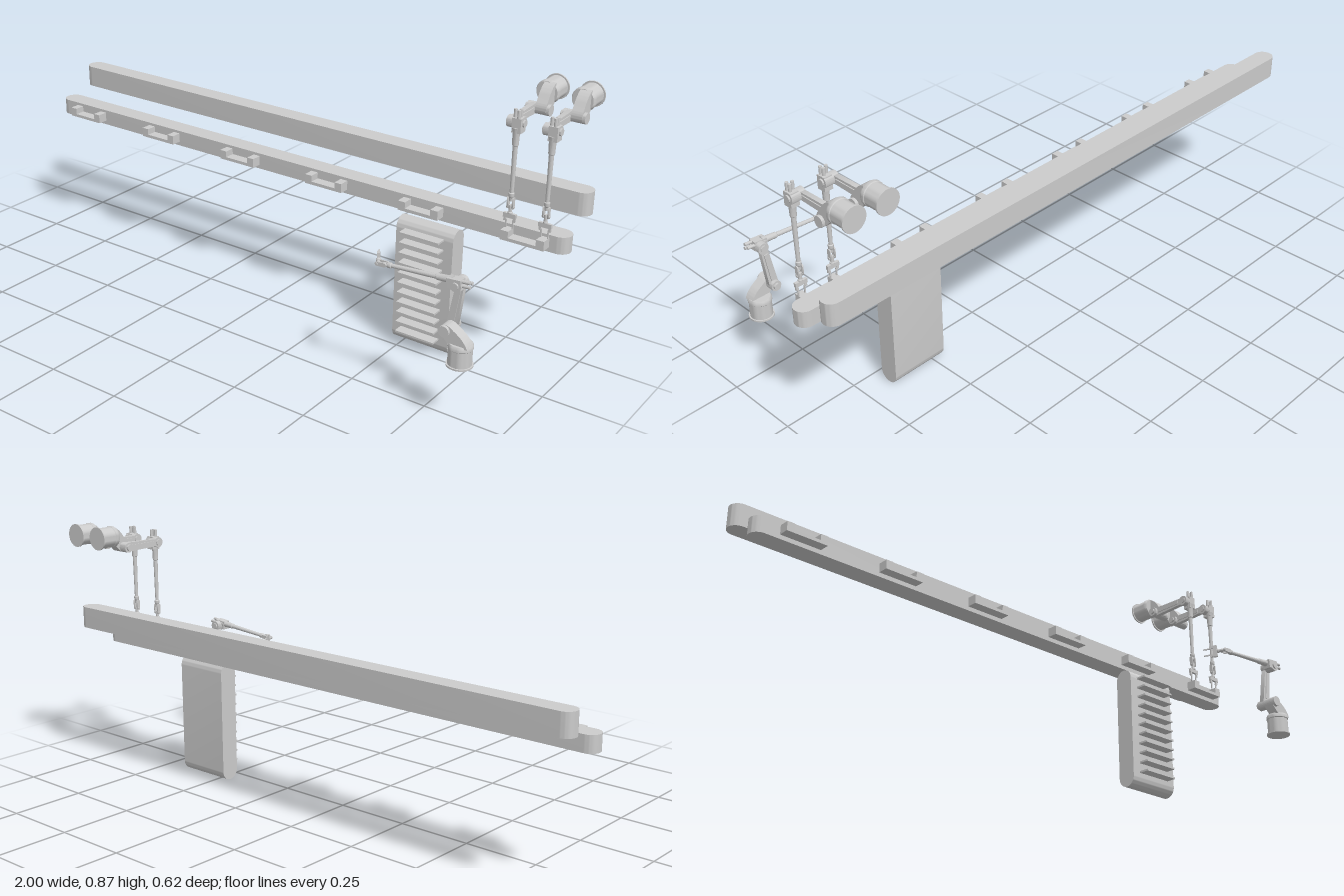
import * as THREE from 'three';
import { toCreasedNormals } from 'three/addons/utils/BufferGeometryUtils.js';

const mat = new THREE.MeshStandardMaterial({ color: 0xcccccc });

function add(parent, name, geo, x = 0, y = 0, z = 0) {
  const m = new THREE.Mesh(toCreasedNormals(geo, 0.6), mat);
  m.name = name;
  m.position.set(x, y, z);
  parent.add(m);
  return m;
}

function group(parent, name, x = 0, y = 0, z = 0) {
  const g = new THREE.Group();
  g.name = name;
  g.position.set(x, y, z);
  parent.add(g);
  return g;
}

const extrude = (shape, depth) =>
  new THREE.ExtrudeGeometry(shape, { depth, bevelEnabled: false, curveSegments: 12 }).translate(0, 0, -depth / 2);

// Two joined circles of radius r0 and r1, the second at distance len along +x
function link(len, r0, r1, depth) {
  const a = Math.acos((r0 - r1) / len);
  const s = new THREE.Shape();
  s.absarc(0, 0, r0, a, 2 * Math.PI - a, false);
  s.absarc(len, 0, r1, -a, a, false);
  s.closePath();
  return extrude(s, depth);
}

// Turned part along +x, points are [x, radius]
const turnedX = (pts) => new THREE.LatheGeometry(
  pts.map(([x, r]) => new THREE.Vector2(r, x)), 18).rotateZ(-Math.PI / 2);

// Turned part along the joint axis z
const pin = (r, z0, z1, seg = 24) =>
  new THREE.CylinderGeometry(r, r, z1 - z0, seg).rotateX(Math.PI / 2).translate(0, 0, (z0 + z1) / 2);

// Six axis arm standing on y = 0 and reaching along +x
function robotArm(name, { upper = 0, fore = 0, bend = 0, roll = 0 }) {
  const arm = new THREE.Group();
  arm.name = name;

  // Round pedestal with foot flange and collar
  const profile = [[0, 0], [0.039, 0], [0.039, 0.005], [0.0345, 0.005], [0.0345, 0.054],
    [0.0365, 0.056], [0.0365, 0.065], [0.033, 0.071], [0, 0.071]];
  add(arm, 'pedestal', new THREE.LatheGeometry(profile.map((p) => new THREE.Vector2(...p)), 28));

  // Leaning shoulder bracket
  const s = new THREE.Shape();
  s.moveTo(-0.033, 0.066);
  s.quadraticCurveTo(-0.024, 0.092, 0.012, 0.112);
  s.quadraticCurveTo(0.03, 0.128, 0.048, 0.12);
  s.quadraticCurveTo(0.06, 0.105, 0.05, 0.09);
  s.lineTo(0.026, 0.066);
  s.closePath();
  add(arm, 'shoulderBracket', extrude(s, 0.034), 0, 0, -0.008);
  add(arm, 'shoulderMotor', pin(0.017, -0.034, 0.038), 0.039, 0.105);
  add(arm, 'shoulderCap', pin(0.011, 0.038, 0.045), 0.039, 0.105);

  // Upper arm, offset to one side
  const upperArm = group(arm, 'upperArm', 0.039, 0.105, 0);
  upperArm.rotation.z = upper;
  const bar = add(upperArm, 'upperArmLink', link(0.142, 0.016, 0.012, 0.016), 0, 0, 0.019);
  bar.rotation.z = Math.PI / 2;
  add(upperArm, 'upperArmRib', new THREE.BoxGeometry(0.013, 0.1, 0.022), 0, 0.07, 0.019);

  // Elbow housing with two rear motors
  const forearm = group(upperArm, 'forearm', 0, 0.142, 0);
  forearm.rotation.z = fore - upper;
  add(forearm, 'elbowHousing', pin(0.018, -0.02, 0.027));
  add(forearm, 'elbowCap', pin(0.011, -0.025, 0.031));
  add(forearm, 'elbowBlock', new THREE.BoxGeometry(0.044, 0.03, 0.028), 0.005, 0.004, -0.006);
  for (const [y, z] of [[0.001, -0.01], [0.014, -0.01], [0.008, 0.004]]) {
    add(forearm, 'wristMotor', turnedX([[-0.041, 0], [-0.041, 0.005], [-0.015, 0.005], [-0.015, 0]]), 0, y, z);
  }

  // Tapered forearm tube
  const axis = group(forearm, 'forearmAxis', 0, 0.009, -0.003);
  add(axis, 'forearmTube', turnedX([[0.012, 0], [0.012, 0.014], [0.03, 0.0105], [0.065, 0.0095], [0.067, 0.0075],
    [0.21, 0.006], [0.212, 0.0085], [0.222, 0.0085], [0.226, 0.006], [0.236, 0.006], [0.236, 0]]));

  // Wrist fork, hand and gripper fingers
  for (const side of [-1, 1]) {
    add(axis, 'wristFork', link(0.025, 0.0065, 0.006, 0.004), 0.23, 0, side * 0.008);
  }
  add(axis, 'wristPin', pin(0.004, -0.012, 0.012, 12), 0.255);
  const hand = group(axis, 'hand', 0.255, 0, 0);
  hand.rotation.set(roll, bend, 0, 'YXZ');
  add(hand, 'wristBody', turnedX([[-0.006, 0], [-0.006, 0.0055], [0.014, 0.0055], [0.016, 0.0075], [0.02, 0.0075], [0.02, 0]]));
  add(hand, 'palm', new THREE.BoxGeometry(0.014, 0.009, 0.04), 0.027, 0, 0);
  for (const side of [-1, 1]) {
    add(hand, 'fingerBase', new THREE.BoxGeometry(0.014, 0.006, 0.007), 0.038, 0, side * 0.015);
    add(hand, 'finger', new THREE.BoxGeometry(0.026, 0.004, 0.004), 0.053, 0, side * 0.011);
  }
  return arm;
}

// Belt with round ends, lying in the xy plane
const belt = (length, r, depth) => {
  const h = length / 2 - r;
  return link(length - 2 * r, r, r, depth).translate(-h, 0, 0);
};

export function createModel() {
  const model = new THREE.Group();
  model.name = 'conveyorCell';

  // Two long horizontal conveyors
  add(model, 'backConveyor', belt(2, 0.0325, 0.073).rotateX(Math.PI / 2), 0, 0.5365, -0.2295);
  add(model, 'frontConveyor', belt(2, 0.0325, 0.053).rotateX(Math.PI / 2), 0, 0.4535, -0.1025);

  // Upright elevator with shelves
  add(model, 'elevator', belt(0.417, 0.0325, 0.197).rotateZ(Math.PI / 2).rotateY(Math.PI / 2), 0.563, 0.2085, -0.0625);
  for (let i = 0; i < 11; i++) {
    add(model, 'shelf', new THREE.BoxGeometry(0.135, 0.006, 0.037), 0.563, 0.05 + i * 0.0337, -0.0135);
  }

  // Carriers along the front conveyor
  for (let i = 0; i < 6; i++) {
    const tray = group(model, 'carrier', -0.85 + i * 0.3455, 0.441, -0.0525);
    add(tray, 'carrierBase', new THREE.BoxGeometry(0.138, 0.01, 0.035), 0, 0.005, 0);
    for (const side of [-1, 1]) {
      add(tray, 'carrierEnd', new THREE.BoxGeometry(0.025, 0.02, 0.035), side * 0.0565, 0.02, 0);
    }
  }

  // Two arms mounted sideways, reaching down to the front conveyor
  const basis = new THREE.Matrix4().makeBasis(
    new THREE.Vector3(0, -1, 0), new THREE.Vector3(0, 0, 1), new THREE.Vector3(-1, 0, 0));
  for (const x of [0.823, 0.934]) {
    const arm = robotArm('hangingArm', {});
    arm.quaternion.setFromRotationMatrix(basis);
    arm.position.set(x, 0.835, -0.31);
    model.add(arm);
  }

  // Upright arm in front of the elevator
  const loader = robotArm('loaderArm', { upper: 0.15, fore: -0.08, bend: -1.05, roll: Math.PI / 2 });
  loader.rotation.y = Math.PI;
  loader.position.set(0.866, 0.19, 0.272);
  model.add(loader);

  return model;
}
